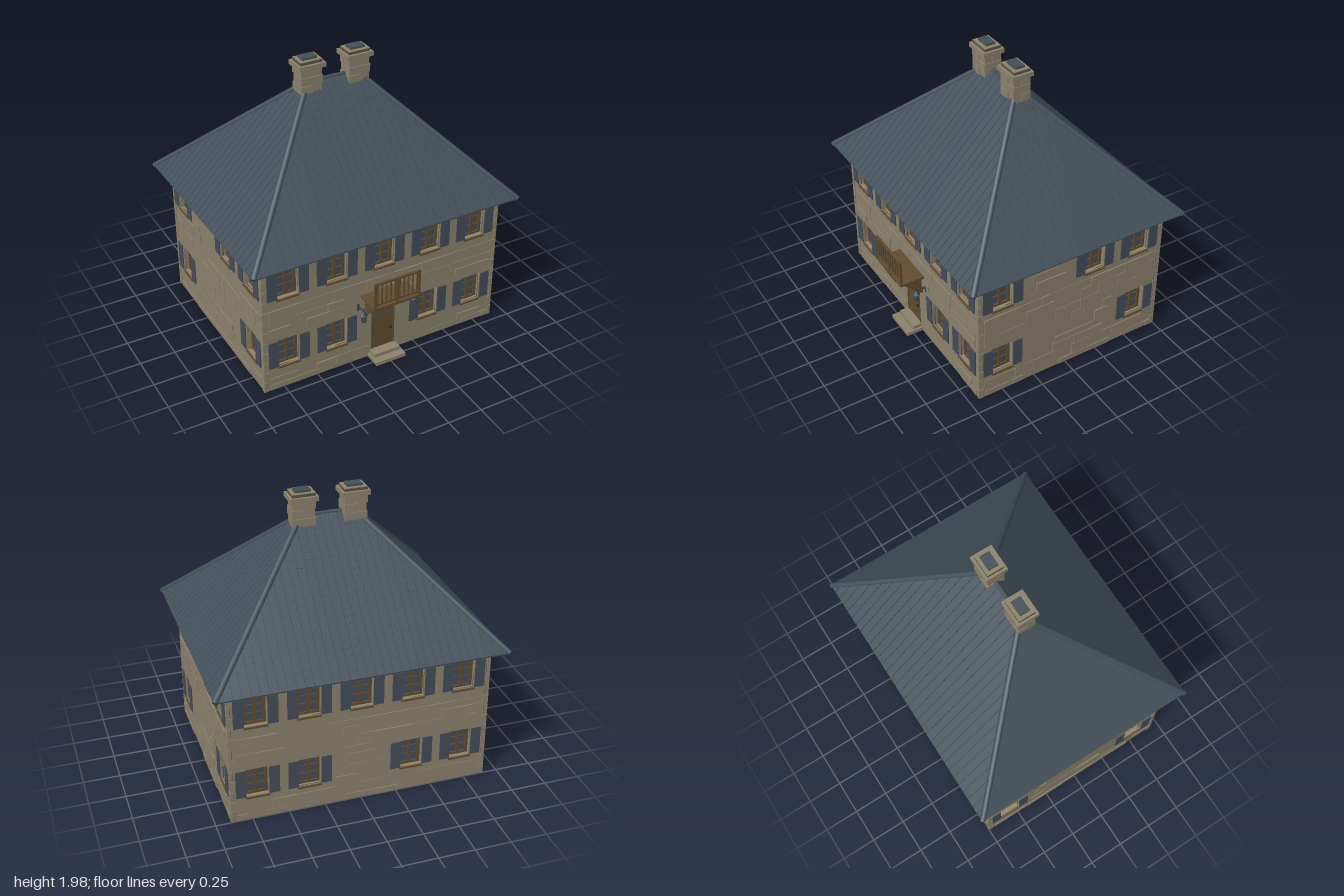
import * as THREE from 'three';
import { mergeGeometries } from 'three/addons/utils/BufferGeometryUtils.js';

const paint = (name, color) => Object.assign(new THREE.MeshStandardMaterial({ color }), { name });
const stone = paint('stone', 0x8b826d);
const mortar = paint('mortar', 0x575346);
const wood = paint('wood', 0x614c30);
const slate = paint('roof slate', 0x434f59);
const blue = paint('shutter blue', 0x444d59);
const iron = paint('lantern iron', 0x353d46);
const dark = paint('handle dark', 0x2c2519);

const CZ = -0.035;              // centre of the house in z
const HX = 0.891, HZ = 0.712;   // half sizes of the walls
const TOP = 0.975;              // wall height

// box geometry placed by its centre
const box = (w, h, d, x, y, z) => new THREE.BoxGeometry(w, h, d).translate(x, y, z);
function add(parent, name, geos, mat) {
  const geo = Array.isArray(geos) ? mergeGeometries(geos) : geos;
  const mesh = new THREE.Mesh(geo, mat);
  mesh.name = name;
  parent.add(mesh);
  return mesh;
}
function seeded(seed) {
  return () => {
    seed = (seed * 16807) % 2147483647;
    return seed / 2147483647;
  };
}

// recessed window with stone niche, frame, apron and two shutters; origin at the outer wall face
function makeWindow(x, y) {
  const g = new THREE.Group();
  g.name = 'window';
  const w = 0.154, h = 0.214;
  const niche = [];
  const bars = [box(0.018, h, 0.012, 0, 0, -0.041)];
  const leaves = [];
  for (const s of [-1, 1]) {
    niche.push(box(0.006, h + 0.012, 0.052, s * (w / 2 + 0.003), 0, -0.033));
    niche.push(box(w, 0.006, 0.052, 0, s * (h / 2 + 0.003), -0.033));
    bars.push(box(0.019, h, 0.012, s * (w / 2 - 0.0095), 0, -0.041));
    bars.push(box(w, 0.017, 0.012, 0, s * (h / 2 - 0.0085), -0.041));
    bars.push(box(w, 0.007, 0.008, 0, s * 0.03, -0.043));
    leaves.push(box(0.07, 0.205, 0.007, s * 0.113, 0.003, 0.0065));
  }
  bars.push(box(w + 0.008, 0.012, 0.012, 0, -h / 2 - 0.005, 0.002));
  add(g, 'windowNiche', niche, stone);
  add(g, 'nicheBack', box(w + 0.012, h + 0.012, 0.006, 0, 0, -0.06), mortar);
  add(g, 'glass', box(w, h, 0.004, 0, 0, -0.048), blue);
  add(g, 'windowFrame', bars, wood);
  add(g, 'shutters', leaves, blue);
  g.position.set(x, y, 0);
  return g;
}

// one wall with openings, inner lining, raised masonry and windows; outer face at local z = 0
function makeWall(name, half, upper, lower, door, seed) {
  const g = new THREE.Group();
  g.name = name;
  const rect = (path, x0, y0, x1, y1) =>
    path.moveTo(x0, y0).lineTo(x1, y0).lineTo(x1, y1).lineTo(x0, y1).lineTo(x0, y0);
  const shape = rect(new THREE.Shape(), -half, 0, half, TOP);
  const spots = [...upper.map(x => [x, 0.817]), ...lower.map(x => [x, 0.282])];
  const blocked = [];
  for (const [x, y] of spots) {
    shape.holes.push(rect(new THREE.Path(), x - 0.077, y - 0.107, x + 0.077, y + 0.107));
    blocked.push([x - 0.15, y - 0.122, x + 0.15, y + 0.11]);
    g.add(makeWindow(x, y));
  }
  if (door) {
    shape.holes.push(rect(new THREE.Path(), -0.09, 0.05, 0.09, 0.39));
    blocked.push([-0.09, 0, 0.09, 0.39]);
  }
  const layer = (depth, z) =>
    new THREE.ExtrudeGeometry(shape, { depth, bevelEnabled: false }).translate(0, 0, z);
  add(g, 'wallPanel', layer(0.012, -0.012), stone);
  add(g, 'innerLining', layer(0.008, -0.02), mortar);
  // irregular courses of raised blocks
  const rnd = seeded(seed), blocks = [];
  for (let y = 0.003; y < TOP - 0.04;) {
    const h = Math.min(0.045 + rnd() * 0.05, TOP - y - 0.02);
    for (let x = -half + 0.04; x < half - 0.06;) {
      const w = Math.min(0.05 + rnd() * 0.26, half - 0.03 - x);
      const free = blocked.every(b => x > b[2] || x + w < b[0] || y > b[3] || y + h < b[1]);
      const lift = 0.002 + rnd() * 0.007;
      if (rnd() < 0.7 && free) blocks.push(box(w - 0.003, h - 0.003, lift, x + w / 2, y + h / 2, lift / 2));
      x += w;
    }
    y += h;
  }
  add(g, 'stoneBlocks', blocks, stone);
  return g;
}

// one roof slope: base sheet plus tiles in straight columns, trimmed along the hips
function makeSlope(eave, ridge, out0, out1, y0, y1) {
  const pos = [];
  const half = t => eave + (ridge - eave) * t;
  const n = new THREE.Vector3(0, out0 - out1, y1 - y0).normalize();
  const point = (u, t, lift) => {
    const c = Math.max(-half(t), Math.min(half(t), u));
    return [c, y0 + (y1 - y0) * t + n.y * lift, out0 + (out1 - out0) * t + n.z * lift];
  };
  const quad = (a, b, c, d) => pos.push(...a, ...b, ...c, ...a, ...c, ...d);
  quad(point(-9, 0, 0), point(9, 0, 0), point(9, 1, 0), point(-9, 1, 0));
  const rows = 22, step = 0.058;
  for (let r = 0; r < rows; r++) {
    const t0 = r / rows, t1 = (r + 1) / rows;
    const count = Math.ceil(half(t0) / step);
    for (let i = -count; i < count; i++) {
      const u0 = i * step + 0.002, u1 = u0 + step - 0.004;
      if (u0 > half(t0) || u1 < -half(t0)) continue;
      const A = point(u0, t0, 0.008), B = point(u1, t0, 0.008);
      const C = point(u1, t1, 0.0065), D = point(u0, t1, 0.0065);
      const a = point(u0, t0, 0), b = point(u1, t0, 0), c = point(u1, t1, 0), d = point(u0, t1, 0);
      quad(A, B, C, D);
      quad(a, b, B, A);
      quad(b, c, C, B);
      quad(d, a, A, D);
    }
  }
  const geo = new THREE.BufferGeometry();
  geo.setAttribute('position', new THREE.Float32BufferAttribute(pos, 3));
  geo.computeVertexNormals();
  return geo;
}

// round capping between two points
function capBetween(a, b, r) {
  const d = b.clone().sub(a), m = a.clone().add(b).multiplyScalar(0.5);
  const q = new THREE.Quaternion().setFromUnitVectors(new THREE.Vector3(0, 1, 0), d.clone().normalize());
  return new THREE.CylinderGeometry(r, r, d.length(), 8).applyQuaternion(q).translate(m.x, m.y, m.z);
}

export function createModel() {
  const house = new THREE.Group();
  house.name = 'house';

  // walls
  const body = new THREE.Group();
  body.name = 'walls';
  body.position.z = CZ;
  house.add(body);
  const five = [-0.71, -0.355, 0, 0.355, 0.71], four = five.filter(x => x);
  const sideUp = [-0.535, 0.172, 0.528], sideLow = [-0.535, 0.528];
  [['frontWall', HX, five, four, true, HZ], ['leftWall', HZ, sideUp, sideLow, false, HX],
    ['backWall', HX, five, four, false, HZ], ['rightWall', HZ, sideUp, sideLow, false, HX]]
    .forEach(([name, half, up, low, door, dist], i) => {
      const wall = makeWall(name, half, up, low, door, 71 + i * 37);
      wall.rotation.y = i * Math.PI / 2;
      wall.position.set(Math.sin(i * Math.PI / 2) * dist, 0, Math.cos(i * Math.PI / 2) * dist);
      body.add(wall);
    });
  add(body, 'ceiling', box(HX * 2 - 0.02, 0.006, HZ * 2 - 0.02, 0, TOP - 0.004, 0), mortar);

  // corner quoins, alternating long and short
  const quoins = [];
  for (const sx of [-1, 1]) for (const sz of [-1, 1]) for (let i = 0; i < 12; i++) {
    const lx = i % 2 ? 0.037 : 0.022, lz = i % 2 ? 0.022 : 0.037, y = 0.04 + i * 0.08;
    quoins.push(box(lx, 0.076, 0.012, sx * (HX + 0.006 - lx / 2), y, sz * HZ));
    quoins.push(box(0.012, 0.076, lz, sx * HX, y, sz * (HZ + 0.006 - lz / 2)));
  }
  add(body, 'quoins', quoins, stone);

  // roof
  const roof = new THREE.Group();
  roof.name = 'roof';
  roof.position.z = CZ;
  house.add(roof);
  const EX = 0.985, EZ = 0.805, RX = 0.18, Y0 = 0.985, Y1 = 1.788;
  for (let i = 0; i < 4; i++) {
    const geo = i % 2 ? makeSlope(EZ, 0, EX, RX, Y0, Y1) : makeSlope(EX, RX, EZ, 0, Y0, Y1);
    add(roof, 'roofSlope', geo, slate).rotation.y = i * Math.PI / 2;
  }
  add(roof, 'eaves', box(EX * 2, 0.008, EZ * 2, 0, Y0 - 0.003, 0), slate);
  add(roof, 'soffit', box(HX * 2 + 0.1, 0.003, HZ * 2 + 0.1, 0, Y0 - 0.0085, 0), wood);
  const cornice = [];
  for (const s of [-1, 1]) {
    cornice.push(box(HX * 2 + 0.02, 0.02, 0.014, 0, 0.967, s * (HZ + 0.003)));
    cornice.push(box(0.014, 0.02, HZ * 2 + 0.02, s * (HX + 0.003), 0.967, 0));
  }
  add(roof, 'cornice', cornice, wood);
  const caps = [capBetween(new THREE.Vector3(-RX, Y1, 0), new THREE.Vector3(RX, Y1, 0), 0.014)];
  for (const sx of [-1, 1]) for (const sz of [-1, 1]) {
    caps.push(capBetween(new THREE.Vector3(sx * EX, Y0, sz * EZ), new THREE.Vector3(sx * RX, Y1, 0), 0.02));
  }
  add(roof, 'hipCaps', caps, slate);

  // chimneys
  for (const s of [-1, 1]) {
    const ch = new THREE.Group();
    ch.name = 'chimney';
    ch.position.set(s * 0.177, 0, 0);
    roof.add(ch);
    add(ch, 'chimneyStack', [box(0.148, 0.2, 0.116, 0, 1.825, 0), box(0.192, 0.032, 0.156, 0, 1.921, 0),
      box(0.158, 0.004, 0.12, 0, 1.957, 0)], stone);
    add(ch, 'chimneyCollar', [box(0.158, 0.02, 0.12, 0, 1.946, 0), box(0.106, 0.014, 0.07, 0, 1.965, 0)], mortar);
    const blocks = [];
    for (let i = 0; i < 3; i++) {
      const side = i % 2 ? 1 : -1, y = 1.758 + i * 0.06;
      blocks.push(box(0.088, 0.056, 0.128, side * 0.035, y, 0));
      blocks.push(box(0.158, 0.056, 0.068, 0, y, side * 0.029));
    }
    add(ch, 'chimneyBlocks', blocks, stone);
    add(ch, 'chimneyFlue', box(0.106, 0.003, 0.07, 0, 1.9735, 0), slate);
  }

  // door and steps
  const F = CZ + HZ;
  add(house, 'door', box(0.18, 0.34, 0.02, 0, 0.22, F - 0.012), wood);
  add(house, 'doorFrame', [box(0.008, 0.34, 0.012, -0.086, 0.22, F - 0.002),
    box(0.008, 0.34, 0.012, 0.086, 0.22, F - 0.002), box(0.18, 0.01, 0.012, 0, 0.385, F - 0.002)], wood);
  add(house, 'transom', box(0.16, 0.014, 0.004, 0, 0.315, F - 0.001), blue);
  add(house, 'doorHandle', box(0.008, 0.022, 0.014, 0.06, 0.19, F + 0.003), dark);
  add(house, 'steps', [box(0.23, 0.026, 0.13, 0, 0.013, F + 0.058), box(0.2, 0.026, 0.08, 0, 0.039, F + 0.028)], stone);

  // balcony
  const balcony = new THREE.Group();
  balcony.name = 'balcony';
  house.add(balcony);
  add(balcony, 'balconyFloor', box(0.35, 0.018, 0.18, 0, 0.524, F + 0.09), wood);
  const rail = [box(0.35, 0.014, 0.016, 0, 0.717, 0.848), box(0.34, 0.012, 0.012, 0, 0.557, 0.848)];
  for (const x of [-0.167, 0, 0.167]) rail.push(box(0.015, 0.19, 0.015, x, 0.623, 0.848));
  for (let i = 0; i < 10; i++) {
    const x = -0.15 + i * 0.3 / 9;
    rail.push(box(0.009, 0.16, 0.009, x, 0.637, 0.848));
  }
  add(balcony, 'railing', rail, wood);
  const tri = new THREE.Shape([[0, 0.365], [0.03, 0.385], [0.15, 0.5], [0.15, 0.516], [0, 0.516]]
    .map(p => new THREE.Vector2(...p)));
  for (const s of [-1, 1]) {
    const geo = new THREE.ExtrudeGeometry(tri, { depth: 0.022, bevelEnabled: false })
      .translate(0, 0, -0.011).rotateY(-Math.PI / 2).translate(s * 0.131, 0, F);
    add(balcony, 'bracket', geo, wood);
  }

  // wall lanterns
  for (const s of [-1, 1]) {
    const lamp = new THREE.Group();
    lamp.name = 'lantern';
    lamp.position.set(s * 0.195, 0, F + 0.077);
    house.add(lamp);
    add(lamp, 'lanternBody', new THREE.CylinderGeometry(0.019, 0.016, 0.046, 6), blue).position.y = 0.407;
    add(lamp, 'lanternIron', [new THREE.CylinderGeometry(0.004, 0.028, 0.026, 6).translate(0, 0.442, 0),
      new THREE.CylinderGeometry(0.02, 0.02, 0.006, 6).translate(0, 0.382, 0),
      new THREE.CylinderGeometry(0.003, 0.003, 0.03, 6).translate(0, 0.465, 0),
      box(0.007, 0.007, 0.075, 0, 0.457, -0.0375), box(0.014, 0.05, 0.006, 0, 0.445, -0.072)], iron);
  }
  return house;
}
